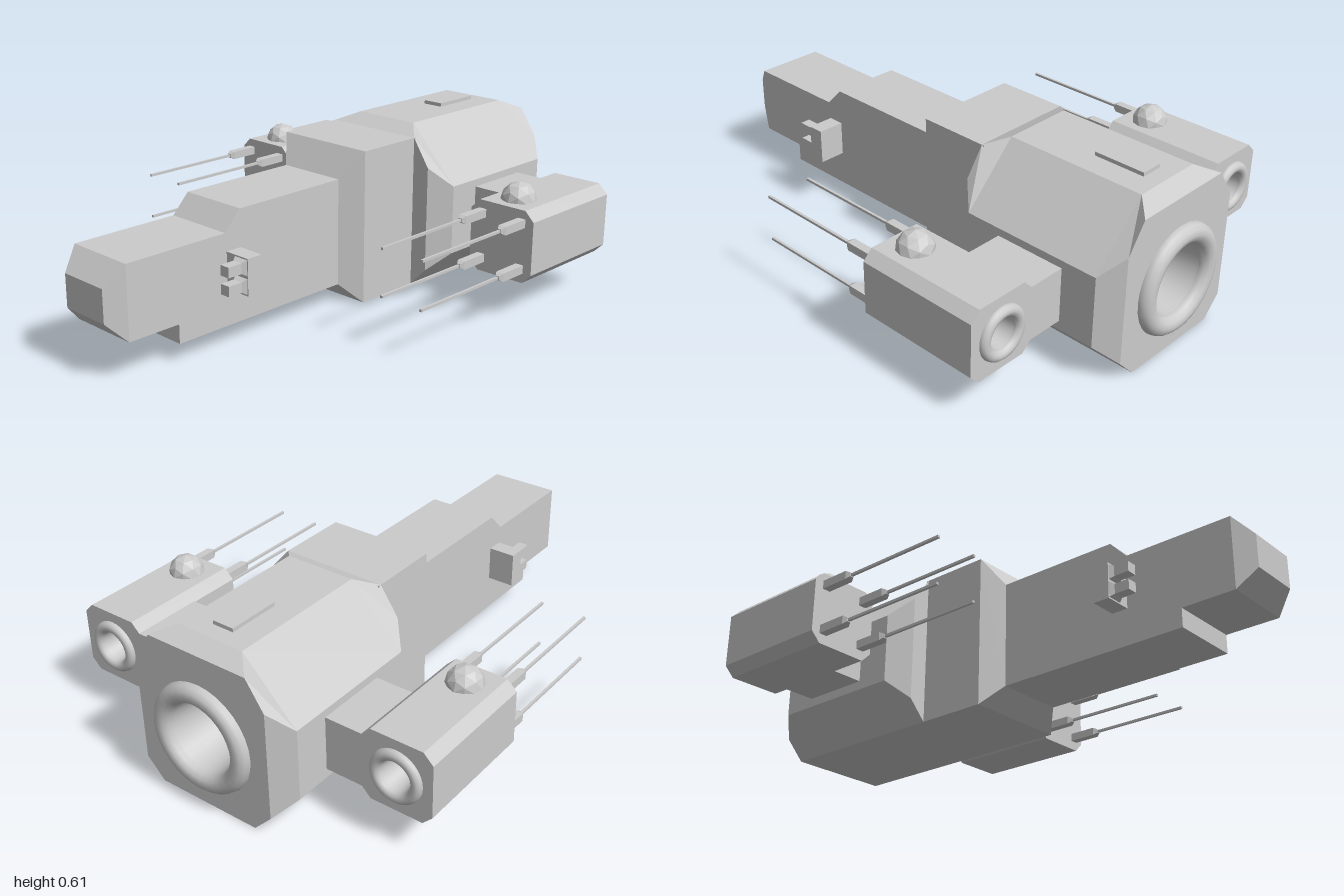
import * as THREE from 'three';

const material = new THREE.MeshStandardMaterial({ color: 0xcccccc, flatShading: true });
const smooth = new THREE.MeshStandardMaterial({ color: 0xcccccc, side: THREE.DoubleSide });

function add(parent, name, geometry, x = 0, y = 0, z = 0, mat = material) {
  const mesh = new THREE.Mesh(geometry, mat);
  mesh.name = name;
  mesh.position.set(x, y, z);
  parent.add(mesh);
  return mesh;
}

// Full outline from its right half, listed bottom to top
const mirrored = half => [...half, ...half.map(([x, y]) => [-x, y]).reverse()];
const rect = (w, y0, y1) => mirrored([[w, y0], [w, y1]]);

// Skin over convex outlines [z, points], ordered back to front
function loft(rings, backCap = true) {
  const pos = [];
  const n = rings[0][1].length;
  const put = (...corners) => corners.forEach(([i, j]) => {
    const [z, points] = rings[i];
    pos.push(...points[j % n], z);
  });
  for (let i = 0; i < rings.length - 1; i++) {
    for (let j = 0; j < n; j++) {
      put([i, j], [i, j + 1], [i + 1, j + 1], [i, j], [i + 1, j + 1], [i + 1, j]);
    }
  }
  const last = rings.length - 1;
  for (let j = 1; j < n - 1; j++) {
    put([last, 0], [last, j], [last, j + 1]);
    if (backCap) put([0, 0], [0, j + 1], [0, j]);
  }
  const geometry = new THREE.BufferGeometry();
  geometry.setAttribute('position', new THREE.Float32BufferAttribute(pos, 3));
  geometry.computeVertexNormals();
  return geometry;
}

// Rear wall with a round opening, rolled rim and tapered recess
function engine(parent, name, outline, y, z, radius, tube, depth) {
  const group = new THREE.Group();
  group.name = name;
  const hole = radius - tube;
  const wall = new THREE.Shape(outline.map(p => new THREE.Vector2(...p)));
  wall.holes.push(new THREE.Path().absarc(0, y, hole, 0, Math.PI * 2, true));
  add(group, 'rearWall', new THREE.ShapeGeometry(wall, 16), 0, 0, z, smooth);
  add(group, 'engineRim', new THREE.TorusGeometry(radius, tube, 12, 32), 0, y, z, smooth);
  const recess = new THREE.CylinderGeometry(hole * 0.8, hole, depth, 32, 1, true).rotateX(Math.PI / 2);
  add(group, 'engineRecess', recess, 0, y, z + depth / 2, smooth);
  add(group, 'engineFloor', new THREE.CircleGeometry(hole * 0.8, 32), 0, y, z + depth, smooth);
  parent.add(group);
}

function createPod(side) {
  const pod = new THREE.Group();
  pod.name = side > 0 ? 'leftPod' : 'rightPod';
  pod.position.x = side * 0.59;
  const outline = mirrored([[0.095, 0.135], [0.13, 0.17], [0.13, 0.36], [0.095, 0.395]]);
  add(pod, 'podHull', loft([[-0.77, outline], [-0.315, outline]], false));
  engine(pod, 'podEngine', outline, 0.265, -0.77, 0.075, 0.02, 0.08);
  add(pod, 'dome', new THREE.IcosahedronGeometry(0.064, 1), 0, 0.395, -0.41);

  // Four long guns
  for (const x of [-0.082, 0.082]) {
    for (const y of [0.185, 0.35]) {
      const gun = new THREE.Group();
      gun.name = 'podGun';
      gun.position.set(x, y, 0);
      add(gun, 'gunMount', loft([
        [-0.33, rect(0.015, -0.015, 0.015)],
        [-0.205, rect(0.015, -0.015, 0.015)],
        [-0.19, rect(0.007, -0.007, 0.007)],
      ]));
      add(gun, 'gunBarrel', new THREE.BoxGeometry(0.009, 0.009, 0.41), 0, 0, 0.005);
      pod.add(gun);
    }
  }
  return pod;
}

function createNoseGun(side) {
  const gun = new THREE.Group();
  gun.name = side > 0 ? 'leftNoseGun' : 'rightNoseGun';
  gun.position.x = side * 0.198;
  add(gun, 'gunBracket', new THREE.BoxGeometry(0.11, 0.128, 0.06), -side * 0.023, 0.264, 0.505);
  for (const y of [0.232, 0.296]) {
    add(gun, 'muzzle', loft([
      [0.53, rect(0.032, -0.03, 0.03)],
      [0.55, rect(0.019, -0.018, 0.018)],
      [0.605, rect(0.019, -0.018, 0.018)],
    ]), 0, y, 0);
  }
  return gun;
}

export function createModel() {
  const ship = new THREE.Group();
  ship.name = 'spaceship';

  // Main hull, bevelled at both ends
  const end = mirrored([[0.195, 0], [0.262, 0.07], [0.262, 0.46], [0.195, 0.56]]);
  const middle = mirrored([[0.195, 0], [0.327, 0.135], [0.327, 0.39], [0.13, 0.592]]);
  add(ship, 'mainHull', loft([[-0.965, end], [-0.9, middle], [-0.38, middle], [-0.31, end]], false));
  engine(ship, 'mainEngine', end, 0.26, -0.965, 0.16, 0.035, 0.18);
  add(ship, 'topHatch', new THREE.BoxGeometry(0.08, 0.025, 0.19), 0, 0.593, -0.745);

  // Collar between hull and neck
  add(ship, 'collar', loft([
    [-0.32, rect(0.195, 0, 0.56)],
    [-0.05, rect(0.195, 0, 0.56)],
    [0.015, rect(0.13, 0.07, 0.46)],
  ]));

  // Neck: side profile (z, y) extruded across x
  const profile = new THREE.Shape([
    [-0.02, 0.07], [0.74, 0.07], [0.74, 0.137], [0.935, 0.137],
    [0.935, 0.392], [0.54, 0.392], [0.475, 0.46], [-0.02, 0.46],
  ].map(p => new THREE.Vector2(...p)));
  const neck = new THREE.ExtrudeGeometry(profile, { depth: 0.26, bevelEnabled: false });
  add(ship, 'neck', neck.rotateY(-Math.PI / 2).translate(0.13, 0, 0));
  add(ship, 'noseTip', loft([
    [0.935, rect(0.13, 0.137, 0.392)],
    [1, rect(0.095, 0.205, 0.32)],
  ]));

  for (const side of [-1, 1]) {
    add(ship, 'strut', new THREE.BoxGeometry(0.18, 0.195, 0.26), side * 0.39, 0.265, -0.64);
    ship.add(createPod(side), createNoseGun(side));
  }
  return ship;
}
